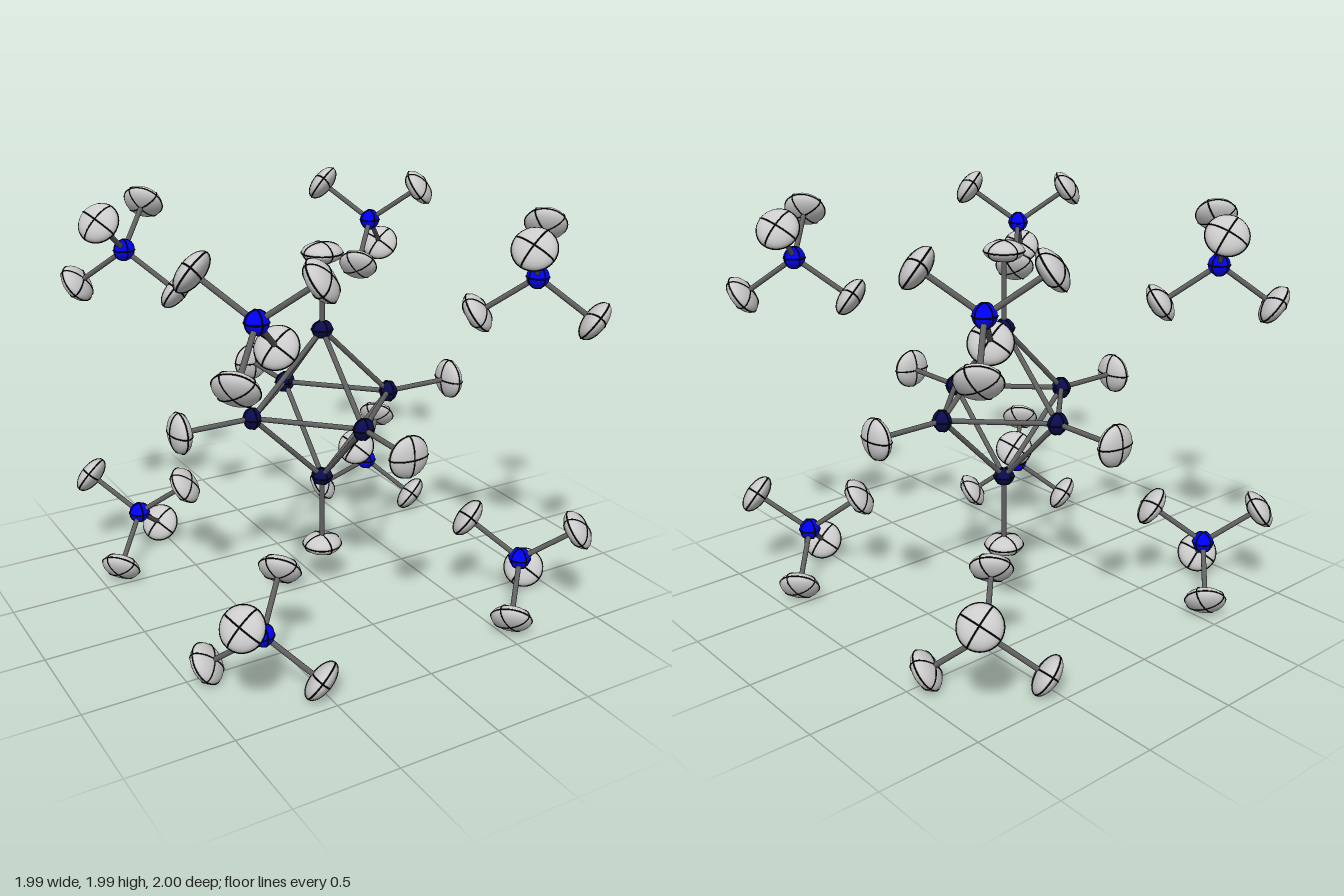
import * as THREE from 'three';

const mat = (color) => new THREE.MeshStandardMaterial({ color });
const grey = mat(0xcccccc), navy = mat(0x0a0a50), blue = mat(0x0000ff);
const rodMat = mat(0x606060), black = mat(0x080808);
const ball = new THREE.SphereGeometry(1, 24, 16);
const V = (x, y, z) => new THREE.Vector3(x, y, z);

// thin elliptical band spanned by two half-axis vectors
function ringGeometry(p, q) {
  const pts = [];
  for (let i = 0; i < 24; i++) {
    const a = (i / 24) * Math.PI * 2;
    pts.push(p.clone().multiplyScalar(Math.cos(a)).addScaledVector(q, Math.sin(a)));
  }
  return new THREE.TubeGeometry(new THREE.CatmullRomCurve3(pts, true), 36, 0.0035, 4, true);
}

// flattened ball kind: radius r across, h along its own axis
function kind(r, h, material) {
  const x = V(r, 0, 0), y = V(0, h, 0), z = V(0, 0, r);
  return { r, h, material, rings: [ringGeometry(x, z), ringGeometry(x, y), ringGeometry(y, z)] };
}
const outerKind = kind(0.1, 0.05, grey);
const cageKind = kind(0.053, 0.043, navy);
const hubKind = kind(0.053, 0.053, blue);

// ball with three principal bands, its short axis along dir
function addAtom(parent, name, k, pos, dir) {
  const g = new THREE.Group();
  g.name = name;
  const body = new THREE.Mesh(ball, k.material);
  body.name = name + 'Body';
  body.scale.set(k.r, k.h, k.r);
  g.add(body);
  for (const geo of k.rings) {
    const ring = new THREE.Mesh(geo, black);
    ring.name = name + 'Ring';
    g.add(ring);
  }
  const d = dir.clone().normalize();
  const u = V(0, 0, 1).cross(d);
  if (u.length() < 0.01) u.set(1, 0, 0);
  u.normalize();
  g.quaternion.setFromRotationMatrix(new THREE.Matrix4().makeBasis(u, d, u.clone().cross(d)));
  g.position.copy(pos);
  parent.add(g);
}

// round rod between two points
function addRod(parent, name, a, b) {
  const d = b.clone().sub(a);
  const rod = new THREE.Mesh(new THREE.CylinderGeometry(0.013, 0.013, d.length(), 12), rodMat);
  rod.name = name;
  rod.position.copy(a).add(b).multiplyScalar(0.5);
  rod.quaternion.setFromUnitVectors(V(0, 1, 0), d.normalize());
  parent.add(rod);
}

export function createModel() {
  const model = new THREE.Group();
  model.name = 'crystalModel';

  // octahedral cage with six outer balls
  const cage = new THREE.Group();
  cage.name = 'octahedralCage';
  cage.position.y = 1;
  model.add(cage);
  const axes = [V(1, 0, 0), V(-1, 0, 0), V(0, 1, 0), V(0, -1, 0), V(0, 0, 1), V(0, 0, -1)];
  axes.forEach((d, i) => {
    const inner = d.clone().multiplyScalar(0.39), outer = d.clone().multiplyScalar(0.77);
    addAtom(cage, 'cageBall', cageKind, inner, d);
    addAtom(cage, 'cageOuterBall', outerKind, outer, d);
    addRod(cage, 'cageSpoke', inner, outer);
    for (let j = i + 1; j < 6; j++) {
      if (d.dot(axes[j]) === 0) addRod(cage, 'cageEdge', inner, axes[j].clone().multiplyScalar(0.39));
    }
  });

  // eight mirrored tetrahedral clusters, each with one arm towards the centre
  const arms = [V(-1, -1, -1), V(-1, 1, 1), V(1, -1, 1), V(1, 1, -1)];
  for (const sx of [-1, 1]) for (const sy of [-1, 1]) for (const sz of [-1, 1]) {
    const s = V(sx, sy, sz);
    const cluster = new THREE.Group();
    cluster.name = 'cornerCluster';
    cluster.position.set(0.72 * sx, 1 + 0.72 * sy, 0.72 * sz);
    addAtom(cluster, 'clusterHub', hubKind, V(0, 0, 0), V(0, 1, 0));
    for (const arm of arms) {
      const d = arm.clone().multiply(s), p = d.clone().multiplyScalar(0.19);
      addRod(cluster, 'clusterSpoke', V(0, 0, 0), p);
      addAtom(cluster, 'clusterOuterBall', outerKind, p, d);
    }
    model.add(cluster);
  }
  return model;
}
